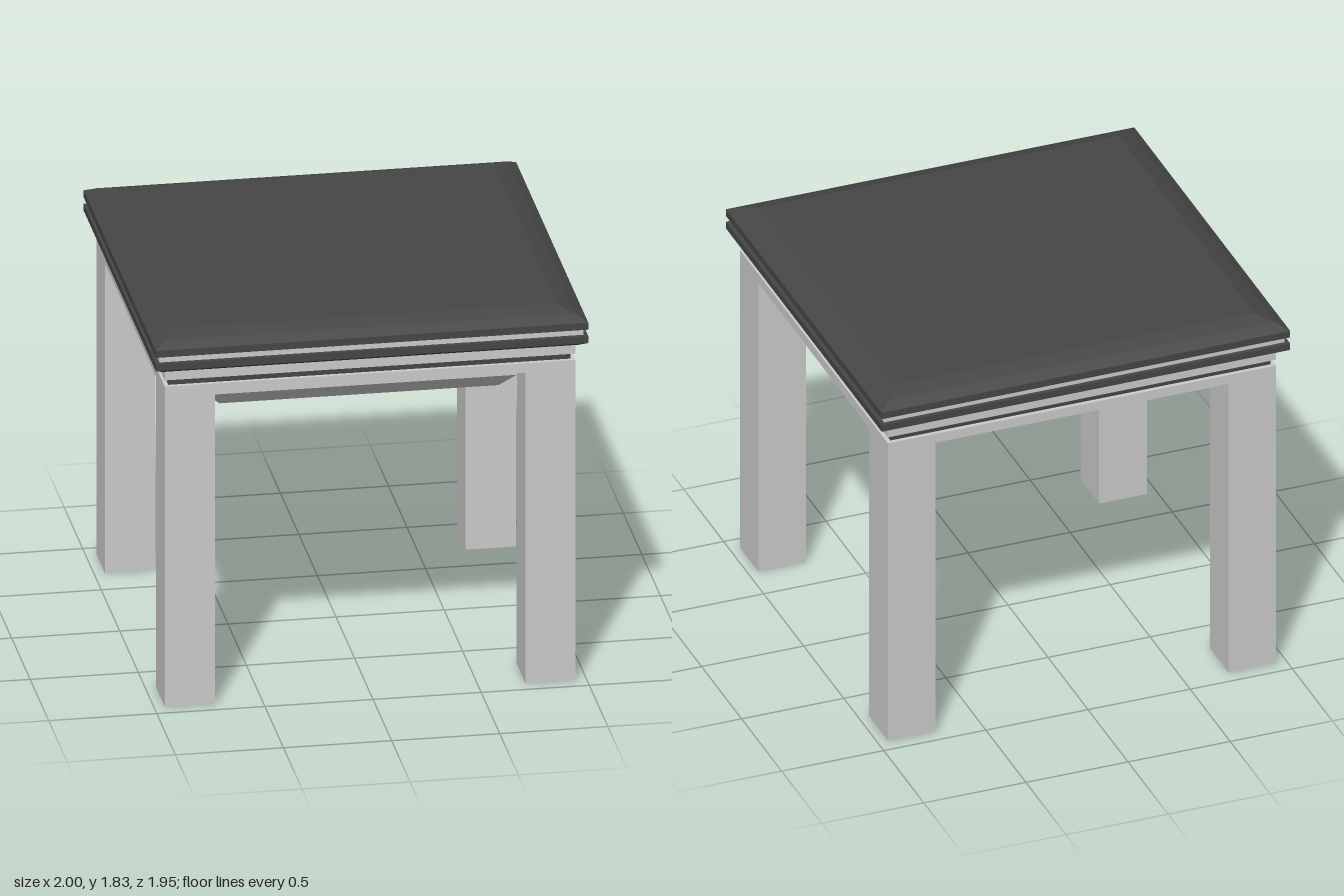
import * as THREE from 'three';

const DEPTH_INSET = 0.026; // the table is slightly shallower than wide

const grey = new THREE.MeshStandardMaterial({ color: 0xcccccc, flatShading: true });
const dark = new THREE.MeshStandardMaterial({ color: 0x464646, flatShading: true });

// Closed rectangular tier: rows of [half width, height], from bottom to top
function tier(name, material, rows) {
  const first = rows[0], last = rows[rows.length - 1];
  const points = [[0, first[1]], ...rows, [0, last[1]]]
    .map(([half, y]) => new THREE.Vector2(half * Math.SQRT2, y));
  const geometry = new THREE.LatheGeometry(points, 4, Math.PI / 4).toNonIndexed();
  const pos = geometry.attributes.position;
  for (let i = 0; i < pos.count; i++) {
    const z = pos.getZ(i);
    if (Math.abs(z) > 0.01) pos.setZ(i, z - Math.sign(z) * DEPTH_INSET);
  }
  geometry.computeVertexNormals();
  const mesh = new THREE.Mesh(geometry, material);
  mesh.name = name;
  return mesh;
}

export function createModel() {
  const table = new THREE.Group();
  table.name = 'table';

  // Stacked top, from the bevelled panel underneath up to the table top
  table.add(
    tier('underPanel', grey, [[0.645, 1.35], [0.717, 1.425], [0.717, 1.53]]),
    tier('frame', grey, [[0.95, 1.53], [0.95, 1.577]]),
    tier('lowerGroove', dark, [[0.93, 1.577], [0.93, 1.608]]),
    tier('lowerBand', grey, [[0.95, 1.608], [0.95, 1.655]]),
    tier('lowerMoulding', dark, [[0.96, 1.655], [1, 1.677], [1, 1.711]]),
    tier('upperBand', grey, [[0.98, 1.711], [0.98, 1.743]]),
    tier('tableTop', dark, [[1, 1.743], [1, 1.777], [0.95, 1.804], [0.875, 1.83]]),
  );

  // Four square legs, flush with the frame corners
  const legHeight = 1.53, legWidth = 0.233;
  const legGeometry = new THREE.BoxGeometry(legWidth, legHeight, legWidth);
  for (const [sx, side] of [[1, 'Left'], [-1, 'Right']]) {
    for (const [sz, end] of [[1, 'front'], [-1, 'back']]) {
      const leg = new THREE.Mesh(legGeometry, grey);
      const x = 0.95 - legWidth / 2;
      leg.position.set(sx * x, legHeight / 2, sz * (x - DEPTH_INSET));
      leg.name = `${end}${side}Leg`;
      table.add(leg);
    }
  }
  return table;
}
